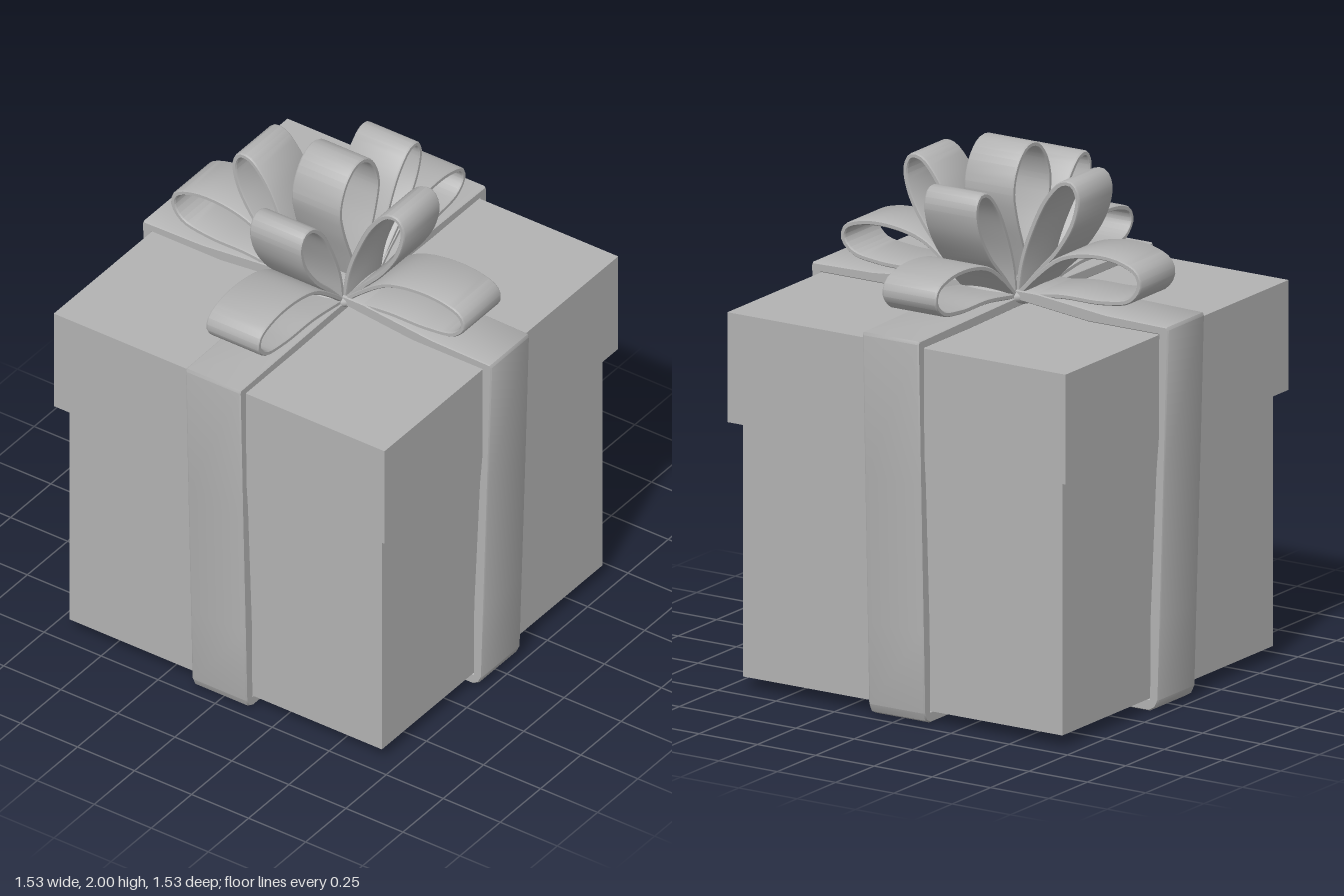
import * as THREE from 'three';
import { toCreasedNormals } from 'three/addons/utils/BufferGeometryUtils.js';

const V = (p) => new THREE.Vector2(p[0], p[1]);
const mirror = (half) => [
  ...half,
  ...half.filter((p) => p[0] !== 0).reverse().map(([x, y]) => [-x, y]),
].map(V);

// Extrude a profile to a given width, centred on its own plane
function extrude(shape, width) {
  const geo = new THREE.ExtrudeGeometry(shape, {
    depth: width - 0.012, bevelEnabled: true, bevelThickness: 0.006,
    bevelSize: 0.004, bevelOffset: -0.004, bevelSegments: 1,
  });
  geo.translate(0, 0, -(width - 0.012) / 2);
  return toCreasedNormals(geo, 0.6);
}

// Ribbon wrapped around the whole box; crest is its height at the middle of the lid
function wrapGeometry(crest, bottom) {
  const shape = new THREE.Shape(mirror([
    [0, bottom], [0.685, bottom], [0.71, 0.015], [0.724, 0.045], [0.733, 0.35],
    [0.75, 0.9], [0.765, 1.43], [0.76, 1.442], [0.5, 1.447], [0.2, crest], [0, crest],
  ]));
  shape.holes.push(new THREE.Path(mirror([
    [0, 0.045], [0.685, 0.045], [0.687, 0.35], [0.712, 0.9], [0.722, 1.02],
    [0.724, 1.409], [0.42, 1.409], [0.13, crest - 0.038], [0, crest - 0.038],
  ])));
  return extrude(shape, 0.24);
}

// Bow loop: a thin strip following a smooth path, thickened inwards (path runs clockwise)
function loopGeometry(points, width, thickness = 0.02) {
  const curve = new THREE.CatmullRomCurve3(points.map(([x, y]) => new THREE.Vector3(x, y, 0)));
  const outer = [], inner = [];
  for (let i = 0; i <= 48; i++) {
    const p = curve.getPointAt(i / 48), t = curve.getTangentAt(i / 48);
    outer.push(new THREE.Vector2(p.x, p.y));
    inner.push(new THREE.Vector2(p.x + t.y * thickness, p.y - t.x * thickness));
  }
  return extrude(new THREE.Shape([...outer, ...inner.reverse()]), width);
}

export function createModel() {
  const group = new THREE.Group();
  const grey = new THREE.MeshStandardMaterial({ color: 0xb2b2b2 });
  grey.name = 'plain grey';
  const add = (name, geo, parent = group) => {
    const mesh = new THREE.Mesh(geo, grey);
    mesh.name = name;
    parent.add(mesh);
    return mesh;
  };

  // Box and overhanging lid
  add('boxBody', new THREE.BoxGeometry(1.37, 1.0, 1.37)).position.y = 0.546;
  add('lid', new THREE.BoxGeometry(1.45, 0.41, 1.45)).position.y = 1.203;

  // Crossing ribbons
  add('sideToSideRibbon', wrapGeometry(1.478, 0));
  add('frontToBackRibbon', wrapGeometry(1.452, 0.003)).rotation.y = Math.PI / 2;

  // Bow: a low and a tall loop in each of the four directions
  const bow = new THREE.Group();
  bow.name = 'bow';
  group.add(bow);
  const low = [
    [0.1, 1.455], [0.17, 1.52], [0.29, 1.605], [0.42, 1.636], [0.55, 1.632],
    [0.63, 1.6], [0.645, 1.55], [0.6, 1.497], [0.48, 1.474], [0.3, 1.47], [0.12, 1.445],
  ];
  const tall = [
    [0.1, 1.45], [0.12, 1.58], [0.16, 1.7], [0.23, 1.84], [0.3, 1.91],
    [0.35, 1.91], [0.378, 1.86], [0.36, 1.76], [0.29, 1.64], [0.2, 1.54], [0.125, 1.45],
  ];
  const directions = ['left', 'back', 'right', 'front'];
  directions.forEach((dir, i) => {
    const arm = new THREE.Group();
    arm.name = dir + 'Loops';
    arm.rotation.y = i * Math.PI / 2;
    bow.add(arm);
    const drop = i % 2 ? 0.94 : 1; // front and back loops sit slightly lower
    const lift = i === 2 ? 1.14 : 1; // the right low loop is puffed up a little
    add('lowLoop', loopGeometry(low.map(([x, y]) => [x, 1.45 + (y - 1.45) * lift]), 0.23), arm);
    add('tallLoop', loopGeometry(tall.map(([x, y]) => [x, 1.45 + (y - 1.45) * drop]), 0.224), arm);
  });

  // Upright loop in the middle, and the knot underneath
  const centre = [
    [-0.012, 1.46], [-0.06, 1.6], [-0.11, 1.74], [-0.128, 1.84], [-0.1, 1.93], [-0.05, 1.985], [0, 2.0],
  ];
  const centrePath = [...centre, ...centre.slice(0, -1).reverse().map(([x, y]) => [-x, y])];
  add('centreLoop', loopGeometry(centrePath, 0.21), bow).rotation.y = Math.PI / 2;
  const knot = add('knot', new THREE.SphereGeometry(0.18, 32, 16), bow);
  knot.scale.y = 0.3;
  knot.position.y = 1.45;

  return group;
}
